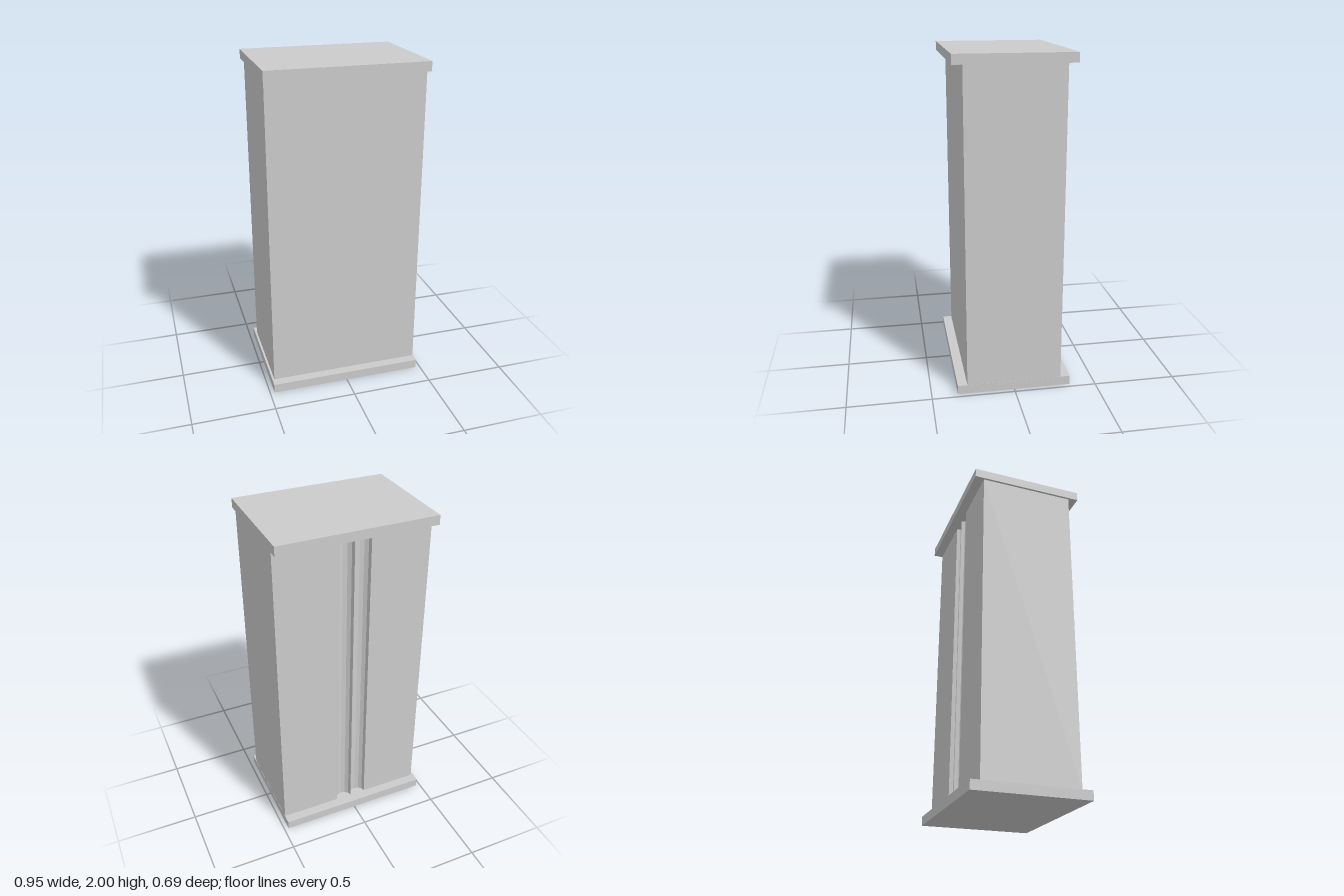
import * as THREE from 'three';

const material = new THREE.MeshStandardMaterial({ color: 0xcccccc, flatShading: true });

const WIDTH = 0.946, DEPTH = 0.688, HEIGHT = 2, PLATE = 0.056;
const LEFT = 0.472, RIGHT = -0.46, HALF_DEPTH = 0.286;
const FLUTE_RADIUS = 0.05, FLUTE_DEPTH = 0.045, FLUTE_SIDES = 6;

function addPlate(group, name, y) {
  const plate = new THREE.Mesh(new THREE.BoxGeometry(WIDTH, PLATE, DEPTH), material);
  plate.name = name;
  plate.position.y = y;
  group.add(plate);
}

// Plan outline of the shaft, with the fluted back along the upper edge
function shaftOutline() {
  const points = [
    new THREE.Vector2(RIGHT, -HALF_DEPTH),
    new THREE.Vector2(LEFT, -HALF_DEPTH),
    new THREE.Vector2(LEFT, HALF_DEPTH),
  ];
  for (const centre of [0.053, -0.047]) {
    const first = centre > 0 ? 0 : 1; // neighbouring flutes share a ridge
    for (let i = first; i <= FLUTE_SIDES; i++) {
      const a = (i / FLUTE_SIDES) * Math.PI;
      points.push(new THREE.Vector2(
        centre + FLUTE_RADIUS * Math.cos(a),
        HALF_DEPTH - FLUTE_DEPTH * Math.sin(a)
      ));
    }
  }
  points.push(new THREE.Vector2(RIGHT, HALF_DEPTH));
  return new THREE.Shape(points);
}

export function createModel() {
  const group = new THREE.Group();
  group.name = 'pillar';

  // Top and bottom plates
  addPlate(group, 'basePlate', PLATE / 2);
  addPlate(group, 'topPlate', HEIGHT - PLATE / 2);

  // Shaft between the plates, flush with them on the left side
  const geometry = new THREE.ExtrudeGeometry(shaftOutline(), {
    depth: HEIGHT - 2 * PLATE, bevelEnabled: false,
  });
  geometry.rotateX(-Math.PI / 2);
  const shaft = new THREE.Mesh(geometry, material);
  shaft.name = 'flutedShaft';
  shaft.position.y = PLATE;
  group.add(shaft);

  return group;
}
